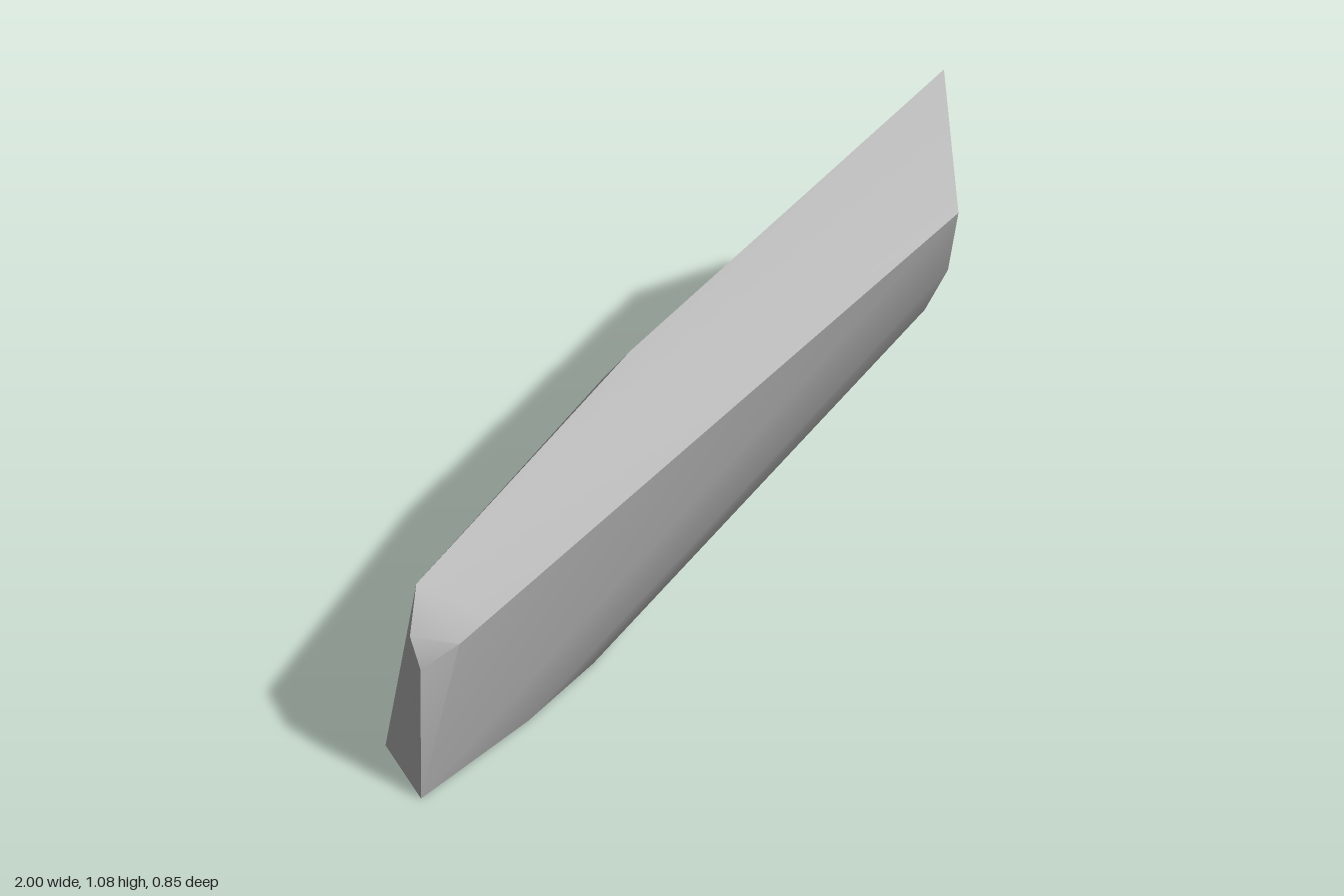
import * as THREE from 'three';
import { ConvexGeometry } from 'three/addons/geometries/ConvexGeometry.js';
import { toCreasedNormals } from 'three/addons/utils/BufferGeometryUtils.js';

const points = (list) => list.map((p) => new THREE.Vector3(...p));

export function createModel() {
  const group = new THREE.Group();
  group.name = 'rock';
  const stone = new THREE.MeshStandardMaterial({ color: 0xa6a6a6 });
  stone.name = 'grey stone';

  // Broken right end, running from the peak round its curved lower edge
  const rightEnd = points([
    [0.78, 1.08, 0.23], [0.6, 0.87, 0.425], [0.64, 0.65, 0.36], [0.7, 0.44, 0.24],
    [0.8, 0.26, 0.07], [0.9, 0.17, -0.09], [1, 0.48, -0.18],
  ]);
  // Flat base, with a rounded front edge
  const base = points([
    [-1, 0, 0.17], [-0.62, 0, 0.17], [-0.36, 0, 0.145], [0, 0, 0.02],
    [0.46, 0, -0.3], [0.34, 0, -0.39], [-0.9, 0, -0.02],
  ]);
  // Low back corner
  const backCorner = points([[0.355, 0.12, -0.425]]);
  // Top ridge and the worn left end
  const ridge = points([
    [-0.19, 0.78, 0.11], [-0.91, 0.52, 0.08], [-0.98, 0.43, 0.12],
    [-0.99, 0.36, 0.16], [-0.9, 0.4, 0.2], [-0.81, 0.43, 0.215],
  ]);

  // The chipped stone is the hull of its corners, smoothed over shallow edges
  const hull = new ConvexGeometry([...rightEnd, ...base, ...backCorner, ...ridge]);
  hull.deleteAttribute('normal');
  const boulder = new THREE.Mesh(toCreasedNormals(hull, 0.55), stone);
  boulder.name = 'boulder';
  group.add(boulder);
  return group;
}
